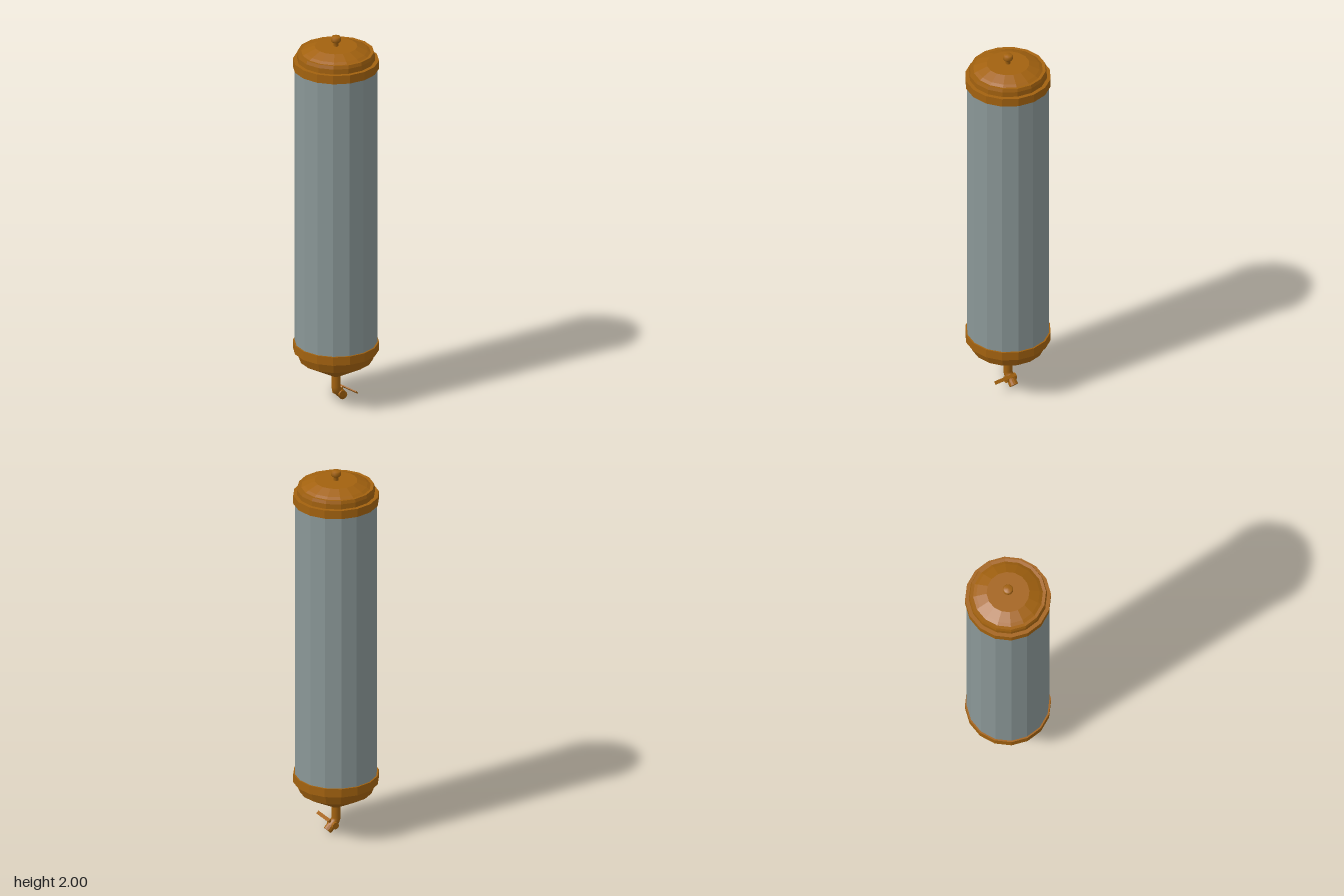
import * as THREE from 'three';

const SIDES = 16;
const brass = new THREE.MeshStandardMaterial({ color: 0xa3620f, flatShading: true, side: THREE.DoubleSide });
const brassSmooth = new THREE.MeshStandardMaterial({ color: 0xa3620f, side: THREE.DoubleSide });
const glass = new THREE.MeshStandardMaterial({ color: 0x8a9797, flatShading: true });

function add(group, name, geometry, material) {
  const mesh = new THREE.Mesh(geometry, material);
  mesh.name = name;
  group.add(mesh);
  return mesh;
}

// Turned part from [radius, height] pairs, listed bottom to top
function turned(points, sides = SIDES) {
  return new THREE.LatheGeometry(points.map(([r, y]) => new THREE.Vector2(r, y)), sides);
}

// Straight rod between two points
function rod(group, name, a, b, radius, sides = 12) {
  const mesh = add(group, name, new THREE.CylinderGeometry(radius, radius, a.distanceTo(b), sides), brass);
  mesh.position.copy(a).lerp(b, 0.5);
  mesh.quaternion.setFromUnitVectors(new THREE.Vector3(0, 1, 0), b.clone().sub(a).normalize());
  return mesh;
}

export function createModel() {
  const model = new THREE.Group();
  model.name = 'cylinderTank';
  const v = (x, y, z = 0) => new THREE.Vector3(x, y, z);

  // Tall faceted tank wall
  const wall = add(model, 'tankWall', new THREE.CylinderGeometry(0.209, 0.209, 1.52, SIDES), glass);
  wall.position.y = 1.08;

  // Funnel base with its collar
  add(model, 'funnelBase', turned([
    [0, 0.145], [0.024, 0.145], [0.185, 0.235], [0.205, 0.288],
    [0.217, 0.288], [0.217, 0.334], [0.2, 0.334],
  ]), brass);

  // Top collar and stepped lid
  add(model, 'topCollar', turned([
    [0.2, 1.828], [0.217, 1.828], [0.217, 1.873], [0.19, 1.873],
  ]), brass);
  add(model, 'lid', turned([
    [0.197, 1.872], [0.197, 1.9], [0.192, 1.917], [0.176, 1.915],
    [0.16, 1.924], [0.108, 1.946], [0, 1.946],
  ]), brass);

  // Lid knob
  add(model, 'lidKnob', turned([
    [0.012, 1.944], [0.012, 1.968], [0.022, 1.97], [0.026, 1.977],
    [0.026, 1.99], [0.021, 1.998], [0, 2],
  ], 16), brassSmooth);

  // Drain spout: vertical pipe bending 45 degrees sideways
  const tap = new THREE.Group();
  tap.name = 'drainTap';
  model.add(tap);
  const path = new THREE.CurvePath();
  path.add(new THREE.LineCurve3(v(0, 0.17), v(0, 0.085)));
  path.add(new THREE.QuadraticBezierCurve3(v(0, 0.085), v(0, 0.07), v(0.012, 0.058)));
  path.add(new THREE.LineCurve3(v(0.012, 0.058), v(0.03, 0.04)));
  add(tap, 'spoutPipe', new THREE.TubeGeometry(path, 20, 0.023, 12), brassSmooth);
  rod(tap, 'spoutMouth', v(0.02, 0.05), v(0.05, 0.02), 0.023);
  rod(tap, 'valveBody', v(0.018, 0.048, -0.03), v(0.018, 0.048, 0.03), 0.018);

  // Valve stem and lever handle
  rod(tap, 'valveStem', v(0.02, 0.05), v(0.043, 0.073), 0.008, 8);
  const lever = add(tap, 'lever', new THREE.BoxGeometry(0.018, 0.006, 0.12), brass);
  lever.position.set(0.042, 0.074, 0.052);
  lever.rotation.z = -Math.PI / 4;

  return model;
}
